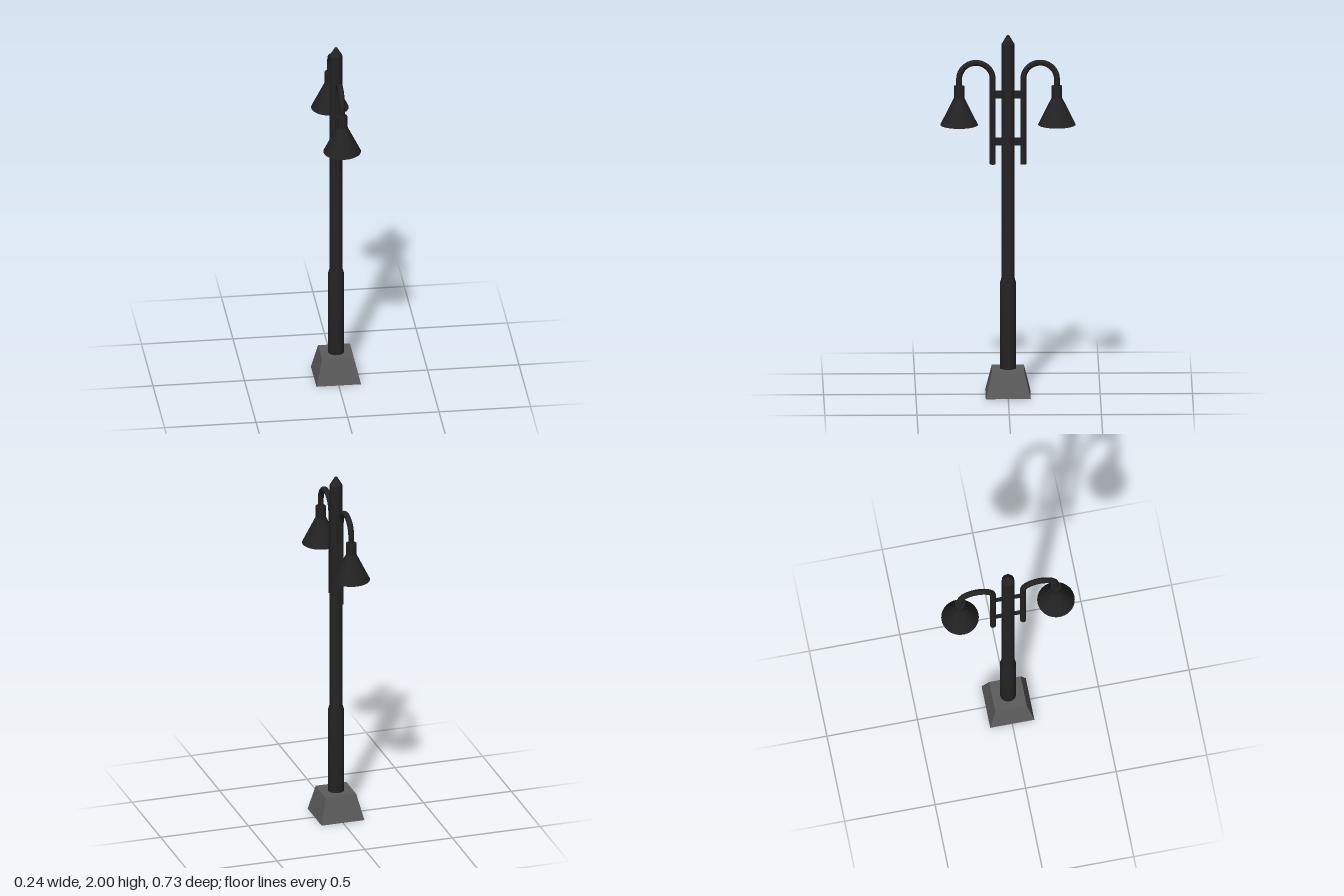
import * as THREE from 'three';
import { toCreasedNormals } from 'three/addons/utils/BufferGeometryUtils.js';

const iron = new THREE.MeshStandardMaterial({ color: 0x222222 });
const shadeIron = new THREE.MeshStandardMaterial({ color: 0x222222, side: THREE.DoubleSide });
const stone = new THREE.MeshStandardMaterial({ color: 0x5c5c5c });
const glow = new THREE.MeshStandardMaterial({ color: 0xc6b14e });

function add(parent, name, geometry, material, x = 0, y = 0, z = 0) {
  const mesh = new THREE.Mesh(geometry, material);
  mesh.name = name;
  mesh.position.set(x, y, z);
  parent.add(mesh);
  return mesh;
}

function lathe(points) {
  const profile = points.map(([r, y]) => new THREE.Vector2(r, y));
  return toCreasedNormals(new THREE.LatheGeometry(profile, 40), 0.45);
}

// Square block narrowing towards its top
function taperedBlock(bottom, top, height) {
  const geometry = new THREE.BoxGeometry(bottom * 2, height, bottom * 2).toNonIndexed();
  const p = geometry.attributes.position;
  for (let i = 0; i < p.count; i++) {
    if (p.getY(i) > 0) p.setXYZ(i, p.getX(i) * top / bottom, p.getY(i), p.getZ(i) * top / bottom);
  }
  geometry.computeVertexNormals();
  return geometry;
}

// Curved arm with brackets and a hanging lamp, extending along +z
function createArm() {
  const arm = new THREE.Group();
  const poleZ = 0.083, lampZ = 0.265, archY = 1.753, r = (lampZ - poleZ) / 2;

  // Upright pipe bending over in a half circle
  const path = new THREE.CurvePath();
  const v = (y, z) => new THREE.Vector3(0, y, z);
  const k = r * 0.5523, mid = poleZ + r;
  path.add(new THREE.LineCurve3(v(1.28, poleZ), v(archY, poleZ)));
  path.add(new THREE.CubicBezierCurve3(v(archY, poleZ), v(archY + k, poleZ), v(archY + r, mid - k), v(archY + r, mid)));
  path.add(new THREE.CubicBezierCurve3(v(archY + r, mid), v(archY + r, mid + k), v(archY + k, lampZ), v(archY, lampZ)));
  path.add(new THREE.LineCurve3(v(archY, lampZ), v(1.7, lampZ)));
  add(arm, 'armPipe', new THREE.TubeGeometry(path, 90, 0.016, 16), iron);
  const cap = new THREE.CircleGeometry(0.016, 16).rotateX(Math.PI / 2);
  add(arm, 'armPipeEnd', cap, iron, 0, 1.28, poleZ);

  // Thin plates joining the pipe to the post
  for (const y of [1.667, 1.405]) {
    add(arm, 'bracket', new THREE.BoxGeometry(0.008, 0.043, 0.06), iron, 0, y, 0.055);
  }

  // Lamp: neck, flared shade with a hollow inside, and light panel
  add(arm, 'lampShade', lathe([
    [0.072, 1.54], [0.097, 1.5], [0.102, 1.5], [0.028, 1.65], [0.028, 1.715], [0, 1.715],
  ]), shadeIron, 0, 0, lampZ);
  add(arm, 'lightPanel', new THREE.CircleGeometry(0.074, 40).rotateX(Math.PI / 2), glow, 0, 1.54, lampZ);
  return arm;
}

export function createModel() {
  const model = new THREE.Group();
  model.name = 'streetLamp';

  add(model, 'base', taperedBlock(0.122, 0.087, 0.145), stone, 0, 0.0725, 0);

  // Post with a thicker foot and a pointed top
  add(model, 'post', lathe([
    [0.044, 0.14], [0.044, 0.62], [0.034, 0.655], [0.034, 1.95], [0.007, 1.996], [0, 2],
  ]), iron);

  // One arm on the front, one on the back
  ['frontArm', 'backArm'].forEach((name, i) => {
    const arm = createArm();
    arm.name = name;
    arm.rotation.y = i * Math.PI;
    model.add(arm);
  });
  return model;
}
